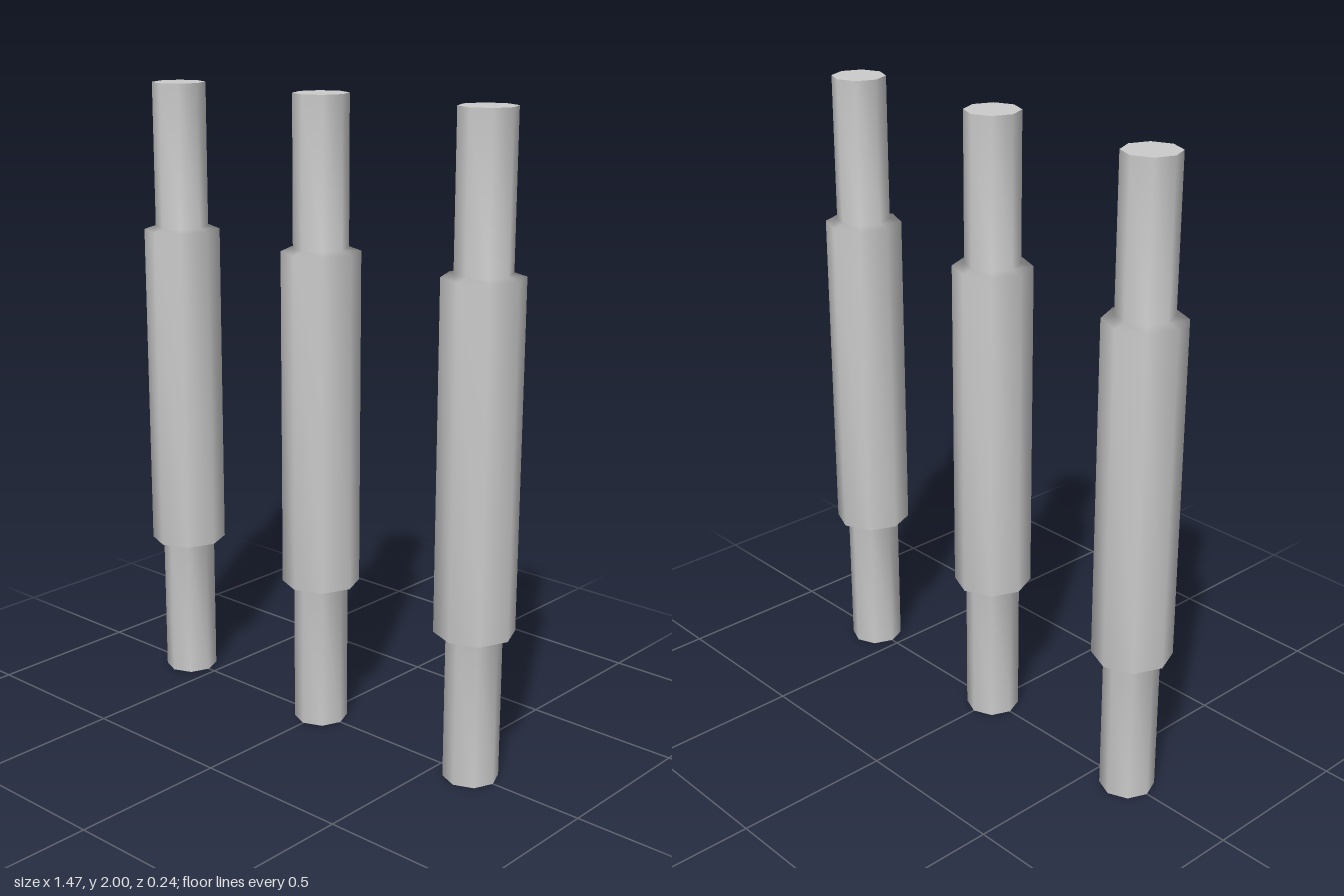
import * as THREE from 'three';
import { mergeVertices } from 'three/addons/utils/BufferGeometryUtils.js';

const SIDES = 8, ROD = 0.085, SLEEVE = 0.122, HEIGHT = 2, SPACING = 0.612;

// Octagonal rod with a thicker, slightly chamfered sleeve, smooth all round
function barGeometry() {
  const profile = [
    [ROD, 0], [ROD, 0.46], [SLEEVE, 0.47],
    [SLEEVE, 1.53], [ROD, 1.54], [ROD, HEIGHT],
  ].map(([r, y]) => new THREE.Vector2(r, y));
  const lathe = new THREE.LatheGeometry(profile, SIDES);
  lathe.deleteAttribute('normal');
  lathe.deleteAttribute('uv');
  const geometry = mergeVertices(lathe);
  geometry.computeVertexNormals();
  return geometry;
}

export function createModel() {
  const model = new THREE.Group();
  const material = new THREE.MeshStandardMaterial({ color: 0xcccccc });
  const bar = barGeometry();
  const cap = new THREE.CircleGeometry(ROD, SIDES);

  // Three identical bars in a row
  ['rightBar', 'middleBar', 'leftBar'].forEach((name, i) => {
    const group = new THREE.Group();
    group.name = name;
    group.position.x = (i - 1) * SPACING;

    const body = new THREE.Mesh(bar, material);
    body.name = 'sleevedRod';

    // Flat end caps
    const top = new THREE.Mesh(cap, material);
    top.name = 'topCap';
    top.rotation.x = -Math.PI / 2;
    top.position.y = HEIGHT;
    const bottom = new THREE.Mesh(cap, material);
    bottom.name = 'bottomCap';
    bottom.rotation.x = Math.PI / 2;

    group.add(body, top, bottom);
    model.add(group);
  });
  return model;
}
